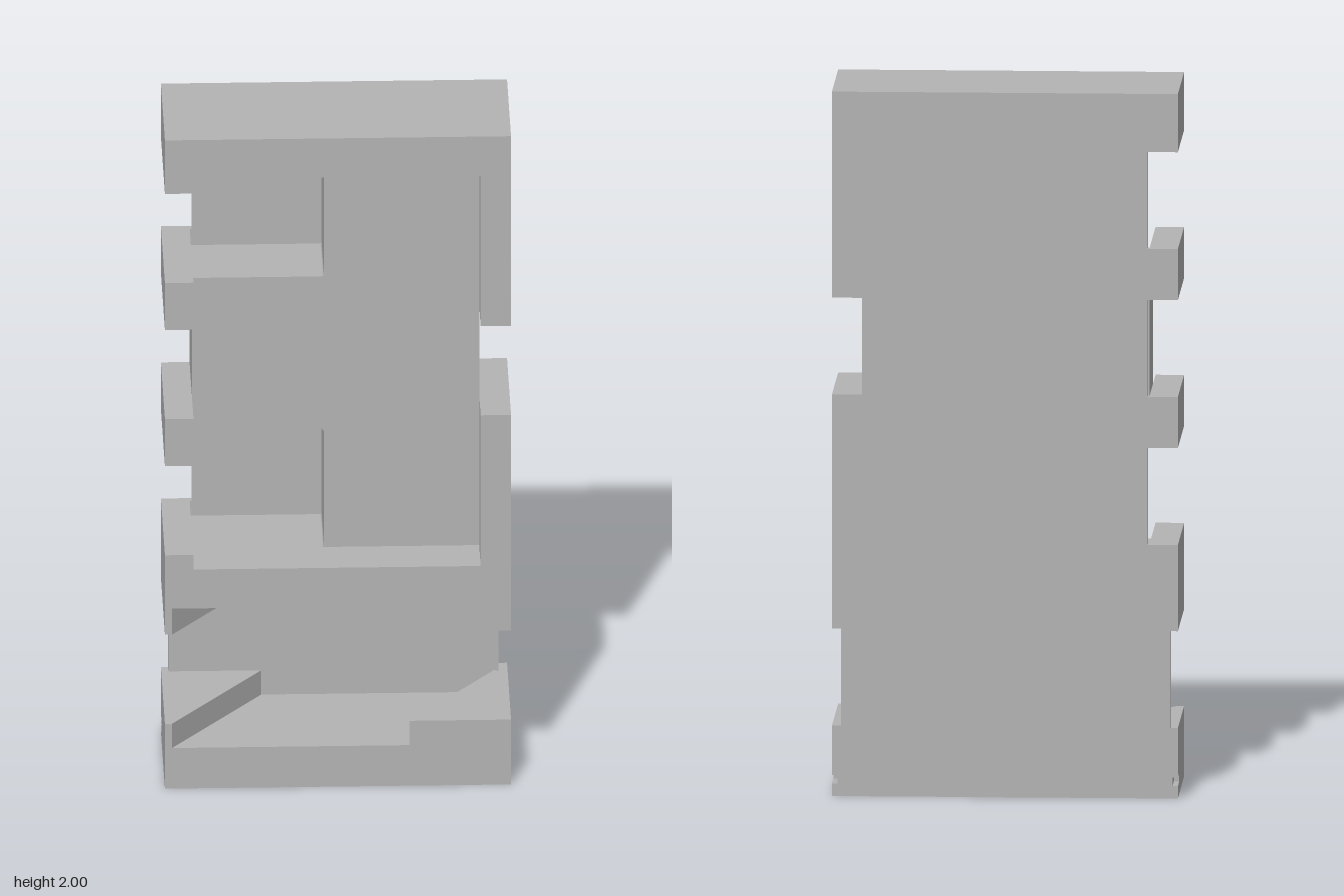
import * as THREE from 'three';

const W = 0.485, D = 0.19;      // half width and half depth of the case
const IN = 0.4;                 // inner face of the side walls
const FLOOR = -0.17, MID = 0.05; // deep pocket floor and middle block front

// Closed outline from [x, y, radius?] points, rounding corners that have a radius
function outline(points) {
  const s = new THREE.Shape();
  const n = points.length;
  points.forEach((p, i) => {
    const c = new THREE.Vector2(p[0], p[1]);
    const toward = (q) => new THREE.Vector2(q[0], q[1]).sub(c).setLength(p[2] || 0).add(c);
    const a = toward(points[(i + n - 1) % n]);
    const b = toward(points[(i + 1) % n]);
    if (i === 0) s.moveTo(a.x, a.y); else s.lineTo(a.x, a.y);
    if (p[2]) s.quadraticCurveTo(c.x, c.y, b.x, b.y);
  });
  s.closePath();
  return s;
}

export function createModel() {
  const group = new THREE.Group();
  const grey = new THREE.MeshStandardMaterial({ color: 0xb3b3b3 });

  function add(name, geometry) {
    const mesh = new THREE.Mesh(geometry, grey);
    mesh.name = name;
    group.add(mesh);
  }
  const options = (depth) => ({ depth, bevelEnabled: false, curveSegments: 5 });

  // Front outline (x, y) extruded along z
  function slab(name, points, z0, z1) {
    const g = new THREE.ExtrudeGeometry(outline(points), options(z1 - z0));
    add(name, g.translate(0, 0, z0));
  }
  // Plan outline (x, z) extruded along y
  function layer(name, points, y0, y1) {
    const shape = outline(points.map(([x, z]) => [x, -z]));
    const g = new THREE.ExtrudeGeometry(shape, options(y1 - y0));
    add(name, g.rotateX(-Math.PI / 2).translate(0, y0, 0));
  }

  const base = 0.555;
  // Right edge with its single notch, bottom to top
  const rightEdge = [
    [-W, base], [W, base], [W, 1.14], [IN, 1.14], [IN, 1.415], [W, 1.415], [W, 2], [-W, 2],
  ];

  // Thin back wall with three notches on the left edge
  const notches = [[1.56, 1.835], [1.14, 1.415], [0.72, 0.995]];
  slab('backWall', [
    ...rightEdge,
    ...notches.flatMap(([lo, hi]) => [[-W, hi], [-IN, hi], [-IN, lo], [-W, lo]]),
  ], -D, FLOOR);

  // Middle block, cut by two square pockets that open to the left
  const pocket = (lo, hi, top, bottom) => [
    [-W, hi], [-0.405, hi], [-0.405, top], [-0.035, top, 0.02],
    [-0.035, bottom, 0.01], [-0.405, bottom], [-0.405, lo], [-W, lo],
  ];
  slab('middleBlock', [
    ...rightEdge,
    ...pocket(1.56, 1.835, 1.88, 1.51),
    [-W, 1.415], [-0.405, 1.415], [-0.405, 1.14], [-W, 1.14],
    ...pocket(0.72, 0.995, 1.045, 0.675),
  ], FLOOR, MID);

  // Front rim around the wide recess
  slab('topRim', [
    [-W, 1.835], [-0.405, 1.835], [-0.405, 1.88], [IN, 1.88],
    [IN, 1.415], [W, 1.415], [W, 2], [-W, 2],
  ], MID, D);
  slab('lowerRim', [
    [-W, base], [W, base], [W, 1.14], [IN, 1.14], [IN, 0.675],
    [-0.405, 0.675], [-0.405, 0.72], [-W, 0.72],
  ], MID, D);
  for (const [lo, hi] of [[1.415, 1.56], [0.995, 1.14]]) {
    slab('sideBar', [[-W, lo], [-0.405, lo], [-0.405, hi], [-W, hi]], MID, D);
  }

  // Foot, with a small slot in each side near the back
  const block = [[-W, -D], [W, -D], [W, D], [-W, D]];
  const s = W - 0.015;
  layer('foot', block, 0, 0.035);
  layer('footSlots', [
    [-s, -D], [s, -D], [s, -0.105], [W, -0.105], [W, D], [-W, D], [-W, -0.105], [-s, -0.105],
  ], 0.035, 0.06);
  layer('footTop', block, 0.06, 0.125);

  // Slanted channel, cut into the floor and ceiling of the lower opening
  const channel = [
    [-W, -D], [W, -D], [W, D], [0.2, D], [0.46, -0.16], [-0.205, -0.16], [-0.465, D], [-W, D],
  ];
  layer('channelFloor', channel, 0.125, 0.2);
  layer('channelCeiling', channel, 0.475, base);

  // Back of the lower opening, with a sloped lip on the right
  layer('openingBack', [
    [-0.465, -D], [0.46, -D], [0.46, -0.135], [0.425, -0.16], [-0.465, -0.16],
  ], 0.2, 0.475);

  return group;
}
